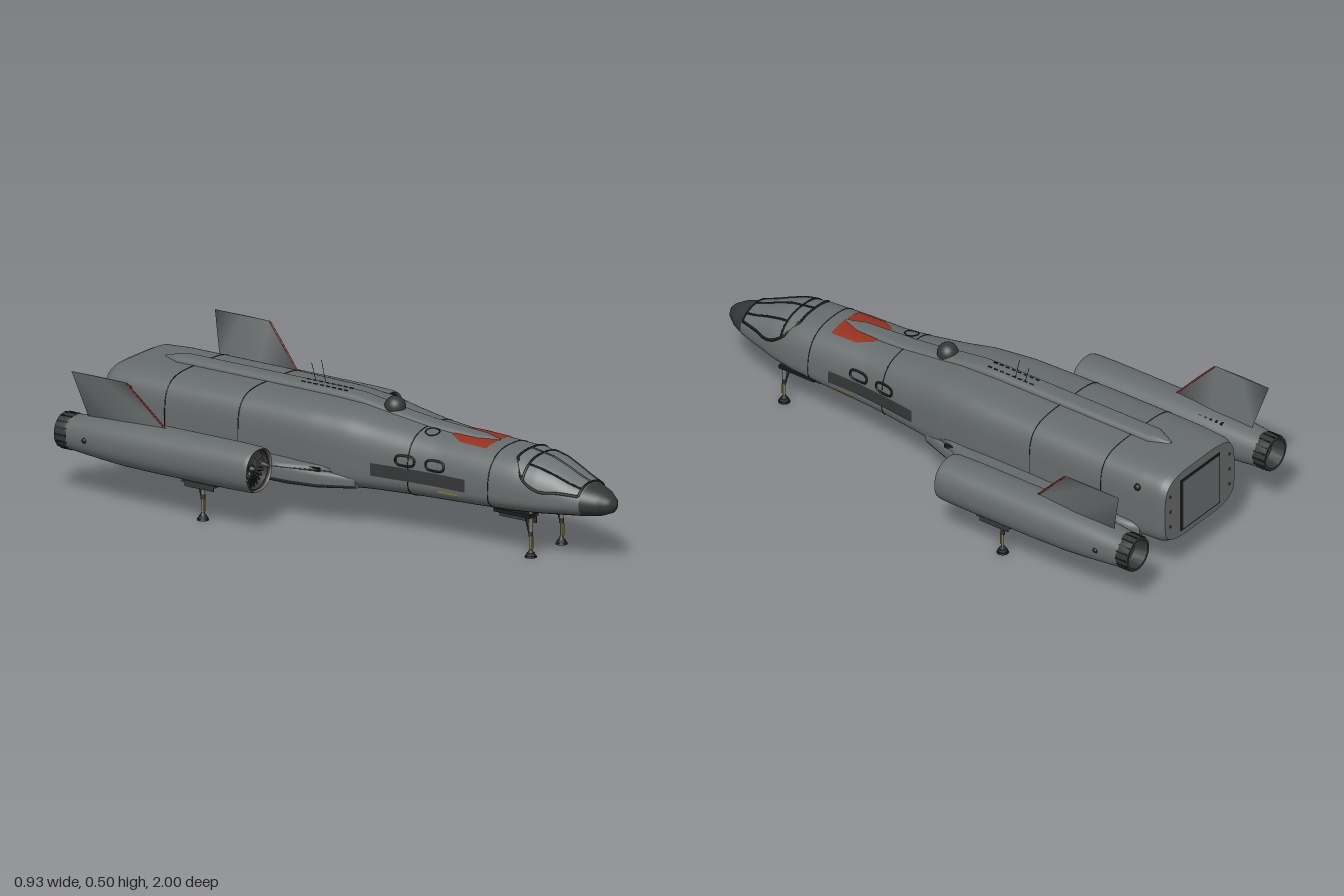
import * as THREE from 'three';
import { toCreasedNormals } from 'three/addons/utils/BufferGeometryUtils.js';

const V = (x, y, z) => new THREE.Vector3(x, y, z);
const rad = THREE.MathUtils.degToRad;
const mat = (name, color) => {
  const m = new THREE.MeshStandardMaterial({ color });
  m.name = name;
  return m;
};

// Fuselage stations: z, half width, bottom, widest height, top, squareness
const STATIONS = [
  [1, .004, .205, .21, .215, 2], [.985, .03, .182, .21, .235, 2], [.95, .058, .168, .21, .256, 2],
  [.9, .082, .16, .21, .272, 2.1], [.85, .097, .156, .21, .29, 2.2], [.8, .11, .152, .21, .313, 2.3],
  [.74, .128, .148, .21, .335, 2.4], [.65, .142, .143, .21, .35, 2.5], [.5, .147, .137, .21, .355, 2.7],
  [.35, .148, .132, .21, .358, 2.9], [.25, .157, .13, .212, .365, 3], [.1, .175, .127, .215, .383, 3.3],
  [0, .19, .122, .22, .397, 3.6], [-.15, .204, .118, .23, .402, 4], [-.5, .21, .115, .24, .403, 4.2],
  [-.85, .209, .116, .24, .403, 4.2], [-.945, .204, .12, .24, .398, 4.2], [-.97, .194, .13, .24, .387, 4.2],
];

function sample(table, z) {
  let i = 0;
  while (i < table.length - 2 && z < table[i + 1][0]) i++;
  const a = table[i], b = table[i + 1];
  const k = THREE.MathUtils.clamp((a[0] - z) / (a[0] - b[0]), 0, 1);
  return a.map((v, j) => v + (b[j] - v) * k);
}
const pow = (v, n) => Math.sign(v) * Math.abs(v) ** (2 / n);

// Point on the fuselage skin at station z and angle t in degrees
function hull(z, t, off = 0) {
  const [, w, yb, yc, yt, n] = sample(STATIONS, z);
  const c = Math.cos(rad(t)), s = Math.sin(rad(t));
  const h = s > 0 ? yt - yc : yc - yb;
  return V((w + off) * pow(c, n), yc + (h + off) * pow(s, n), z);
}
function topPoint(x, z, off = .002) {
  const [, w, , yc, yt, n] = sample(STATIONS, z);
  return V(x, yc + off + (yt - yc) * Math.max(0, 1 - Math.abs(x / w) ** n) ** (1 / n), z);
}
function sidePoint(y, z, off = .002) {
  const [, w, yb, yc, yt, n] = sample(STATIONS, z);
  const h = y > yc ? yt - yc : yc - yb;
  return V(off + w * Math.max(0, 1 - Math.abs((y - yc) / h) ** n) ** (1 / n), y, z);
}

// Skin over rings of points; faces within `span` degrees of straight down form a second material group
function loft(rings, caps = true, span = 0) {
  const n = rings[0].length, pos = [], upper = [], lower = [];
  rings.flat().forEach(p => pos.push(p.x, p.y, p.z));
  for (let i = 0; i < rings.length - 1; i++) for (let j = 0; j < n; j++) {
    const a = i * n + j, c = i * n + (j + 1) % n;
    const list = Math.abs((j + .5) / n * 360 - 270) < span ? lower : upper;
    list.push(a, a + n, c, a + n, c + n, c);
  }
  if (caps) [rings[0], rings[rings.length - 1]].forEach((r, e) => {
    const base = pos.length / 3, mid = r.reduce((s, p) => s.add(p), V(0, 0, 0)).divideScalar(n);
    [mid, ...r].forEach(p => pos.push(p.x, p.y, p.z));
    for (let j = 0; j < n; j++) {
      const a = base + 1 + j, b = base + 1 + (j + 1) % n;
      upper.push(base, e ? b : a, e ? a : b);
    }
  });
  const g = build(pos, [...upper, ...lower]);
  if (span) {
    g.addGroup(0, upper.length, 0);
    g.addGroup(upper.length, lower.length, 1);
  }
  return g;
}
function build(pos, idx) {
  const g = new THREE.BufferGeometry();
  g.setAttribute('position', new THREE.Float32BufferAttribute(pos, 3));
  g.setIndex(idx);
  g.computeVertexNormals();
  return g;
}
// Curved plate; f(u, v) gives its points
function patch(f, nu = 10, nv = 10) {
  const pos = [], idx = [];
  for (let i = 0; i <= nu; i++) for (let j = 0; j <= nv; j++) pos.push(...f(i / nu, j / nv).toArray());
  for (let i = 0; i < nu; i++) for (let j = 0; j < nv; j++) {
    const a = i * (nv + 1) + j, b = a + nv + 1;
    idx.push(a, b, a + 1, b, b + 1, a + 1);
  }
  return build(pos, idx);
}
const steps = (n, f) => Array.from({ length: n + 1 }, (_, i) => f(i / n));
const loop = (n, f) => Array.from({ length: n }, (_, i) => f(i / n * Math.PI * 2));
const oval = (cx, cy, z, rx, ry, n) =>
  loop(40, t => V(cx + rx * pow(Math.cos(t), n), cy + ry * pow(Math.sin(t), n), z));
const wire = (pts, r, closed = false) =>
  new THREE.TubeGeometry(new THREE.CatmullRomCurve3(pts, closed), pts.length * 3, r, 5, closed);
const box = (w, h, d, x, y, z) => new THREE.BoxGeometry(w, h, d).translate(x, y, z);
const rod = (r1, r2, y0, y1, x, z, seg = 12) =>
  new THREE.CylinderGeometry(r1, r2, y1 - y0, seg).translate(x, (y0 + y1) / 2, z);

function mirrored(g) {
  const m = g.clone().scale(-1, 1, 1);
  const src = m.index ? Array.from(m.index.array) : Array.from({ length: m.attributes.position.count }, (_, i) => i);
  for (let i = 0; i < src.length; i += 3) [src[i + 1], src[i + 2]] = [src[i + 2], src[i + 1]];
  m.setIndex(src);
  return m;
}

export function createModel() {
  const group = new THREE.Group();
  const grey = mat('hullGrey', 0x666b6b), glass = mat('canopyGlass', 0x6c7373), dark = mat('darkGrey', 0x343737),
    black = mat('trimBlack', 0x1b1d1d), red = mat('markingRed', 0x96301f), steel = mat('gearSteel', 0x77786f),
    yellow = mat('cautionYellow', 0x9a8830), belly = mat('bellyCharcoal', 0x303232);
  const add = (name, g, m) => {
    const mesh = new THREE.Mesh(g, m);
    mesh.name = name;
    group.add(mesh);
  };
  const pair = (name, g, m) => { add(name + 'Left', g, m); add(name + 'Right', mirrored(g), m); };

  // Fuselage with charcoal belly, and dark nose cone
  const ring = z => loop(64, t => hull(z, THREE.MathUtils.radToDeg(t)));
  const zs = [];
  STATIONS.forEach((s, i) => {
    const next = STATIONS[i + 1];
    for (let k = 0; k < (next ? 4 : 1); k++) zs.push(next ? s[0] + (next[0] - s[0]) * k / 4 : s[0]);
  });
  add('noseCone', loft(zs.filter(z => z >= .8999).map(ring)), dark);
  add('fuselage', loft(zs.filter(z => z <= .9001).map(ring), true, 51), [grey, belly]);
  [.57, .25, -.41, -.71].forEach(z => add('panelSeam', wire(steps(72, k => hull(z, k * 355)), .0016, true), black));

  // Cockpit glazing with its frame
  const sill = [[.895, 28], [.82, 20], [.76, 14], [.7, 26], [.65, 62]];
  const low = z => sample(sill, z)[1];
  add('canopy', patch((u, v) => {
    const z = .65 + .245 * u, t = low(z);
    return hull(z, 180 - t - (180 - 2 * t) * v, .002);
  }, 24, 24), glass);
  pair('canopySill', wire(sill.map(([z, t]) => hull(z, t, .002)), .005), black);
  pair('canopyStrut', wire(steps(8, k => hull(.7 + .195 * k, 56 - 4 * k, .002)), .004), black);
  add('canopyCentreBar', wire(steps(8, k => hull(.65 + .245 * k, 90, .002)), .004), black);
  [.895, .7, .65].forEach(z => add('canopyArch',
    wire(steps(20, k => hull(z, low(z) + (180 - 2 * low(z)) * k, .002)), .004), black));

  // Side windows, dark side panel and caution stripe
  [.355, .24].forEach(z => pair('sideWindowFrame',
    wire(loop(20, t => sidePoint(.27 + .017 * pow(Math.sin(t), 3), z + .036 * pow(Math.cos(t), 3))), .004, true), black));
  pair('sidePanel', patch((u, v) => sidePoint(.2 + .045 * u, .11 + .37 * v, .003), 6, 24), dark);
  pair('cautionStripe', patch((u, v) => sidePoint(.18 + .007 * u, .37 + .08 * v, .003), 2, 6), yellow);

  // Red roof marking and round roof hatch
  add('roofMarking', patch((u, v) => topPoint((2 * v - 1) * Math.min(.08, .05 + .09 * u), .36 + .16 * u, .002), 12, 20), red);
  add('roofHatch', wire(loop(20, t => topPoint(-.065 + .024 * Math.cos(t), .29 + .024 * Math.sin(t))), .002, true), black);

  // Dorsal spine, sensor dome, aerials and spine markings
  const spine = [[.52, .006, .359], [.45, .034, .366], [.25, .04, .376], [.14, .04, .388], [.06, .04, .402],
    [-.05, .04, .418], [-.15, .04, .421], [-.78, .04, .421], [-.85, .008, .407]];
  add('dorsalSpine', loft(spine.map(([z, w, y]) => oval(0, y - .035, z, w, .035, 3.5))), grey);
  add('sensorDome', new THREE.SphereGeometry(.037, 24, 16).translate(0, .395, .09), dark);
  [[-.225, .497], [-.265, .48]].forEach(([z, y]) =>
    add('aerial', wire([V(.017, .41, z + .02), V(.017, (y + .41) / 2, z + .01), V(.017, y, z)], .001), black));
  for (let i = 0; i < 8; i++) pair('spineMark', box(.004, .003, .014, .016, .421, -.1 - i * .025), black);

  // Rear loading door, marker lights and side ports
  add('doorFrame', box(.218, .2, .006, 0, .255, -.971), black);
  add('rearDoor', box(.206, .188, .008, 0, .255, -.972), grey);
  [.2, .26, .32].forEach(y => pair('markerLight', box(.006, .008, .006, .165, y, -.97), red));
  pair('sidePort', new THREE.SphereGeometry(.013, 12, 8).translate(.2, .335, -.86), black);

  // Lower side sponsons
  const sponson = [[.05, .165, .012, .02], [-.08, .185, .035, .032], [-.2, .196, .037, .037], [-.78, .196, .037, .037],
    [-.84, .193, .034, .034], [-.87, .185, .02, .02]];
  pair('sponson', loft(sponson.map(([z, x, rx, ry]) => oval(x, .161, z, rx, ry, 3.2)), true, 72), [grey, belly]);
  pair('sponsonRail', box(.01, .012, .07, .222, .2, -.1), black);

  // Engine pylons
  const pylon = [[.33, .216, .014, -.21, -.74], [.28, .209, .015, -.17, -.75], [.17, .192, .02, .02, -.79]];
  pair('pylon', loft(pylon.map(([x, y, t, z0, z1]) => loop(12, a =>
    V(x, y + t * pow(Math.cos(a), 2.5), (z0 + z1) / 2 + (z0 - z1) / 2 * Math.sin(a))))), grey);

  // Engine nacelles with intake, fan and nozzle
  const EX = .384, EY = .216;
  const pod = rows => loft(rows.map(([z, r]) => oval(EX, EY, z, r * 1.01, r * .99, 2.25)), false);
  pair('nacelle', pod([[-.205, .071], [-.198, .073], [-.2, .076], [-.215, .079], [-.3, .081], [-.6, .081], [-.72, .079],
    [-.82, .073], [-.9, .066], [-.955, .061]]), grey);
  pair('intakeDuct', pod([[-.25, .068], [-.205, .071]]), dark);
  const round = g => g.translate(EX, EY, 0);
  pair('fanDisc', round(new THREE.CircleGeometry(.07, 32).translate(0, 0, -.24)), black);
  for (let i = 0; i < 24; i++) pair('fanBlade',
    round(new THREE.BoxGeometry(.055, .01, .003).rotateX(.5).translate(.041, 0, -.232).rotateZ(i * Math.PI / 12)), dark);
  pair('fanHub', round(new THREE.ConeGeometry(.016, .03, 16).rotateX(Math.PI / 2).translate(0, 0, -.225)), dark);
  pair('intakeRing', round(new THREE.TorusGeometry(.0695, .0018, 6, 40).translate(0, 0, -.212)), red);
  const nozzle = [[.058, .93], [.062, .945], [.064, .965], [.061, 1], [.053, 1], [.048, .95], [.02, .94], [0, .935]];
  pair('nozzle', round(toCreasedNormals(new THREE.LatheGeometry(nozzle.map(p => new THREE.Vector2(...p)), 32)
    .rotateX(-Math.PI / 2), .6)), dark);
  for (let i = 0; i < 16; i++) pair('nozzleRib',
    round(box(.004, .005, .045, .0625, 0, -.973).rotateZ(i * Math.PI / 8)), black);
  for (let i = 0; i < 8; i++) pair('coolingSlat', box(.014, .006, .006, .346, .281, -.65 - i * .022), black);
  pair('nacellePort', new THREE.SphereGeometry(.01, 12, 8).translate(EX + .066, EY, -.87), black);

  // Tail fins with red leading edge
  const fin = [[.44, .42, .003, -.72, -.945], [.28, .385, .011, -.57, -.9]];
  pair('tailFin', loft(fin.map(([y, x, t, z0, z1]) => loop(4, a =>
    V(x + t * Math.sin(a), y, (z0 + z1) / 2 + (z0 - z1) / 2 * Math.cos(a))))), grey);
  pair('finLeadingEdge', wire([V(.388, .295, -.583), V(.404, .367, -.65), V(.42, .438, -.719)], .003), red);

  // Landing legs with stepped feet and bay doors
  [[.09, .71, .165], [.384, -.43, .15]].forEach(([x, z, top]) => {
    pair('legStrut', rod(.0045, .0045, .02, top, x, z), steel);
    pair('legSleeve', rod(.007, .007, .09, top, x, z), steel);
    pair('legCollar', rod(.0082, .0082, .074, .09, x, z), dark);
    pair('legLink', box(.007, .04, .004, x, .052, z + .007), yellow);
    pair('legBrace', wire([V(x, .06, z), V(x, .1, z - .012), V(x, top, z - .03)], .003), dark);
    pair('ankle', rod(.006, .011, .015, .027, x, z), dark);
    pair('footRing', rod(.014, .016, .006, .015, x, z, 16), dark);
    pair('footPad', rod(.019, .021, 0, .006, x, z, 16), black);
  });
  pair('frontBayDoor', box(.006, .03, .15, .072, .132, .645), dark);
  pair('frontBay', box(.05, .012, .15, .085, .147, .645), black);
  pair('rearBayDoor', box(.08, .006, .14, EX, .138, -.42), dark);
  [-.036, .036].forEach(d => pair('rearDoorFlap', box(.004, .024, .12, EX + d, .132, -.42), dark));

  return group;
}
